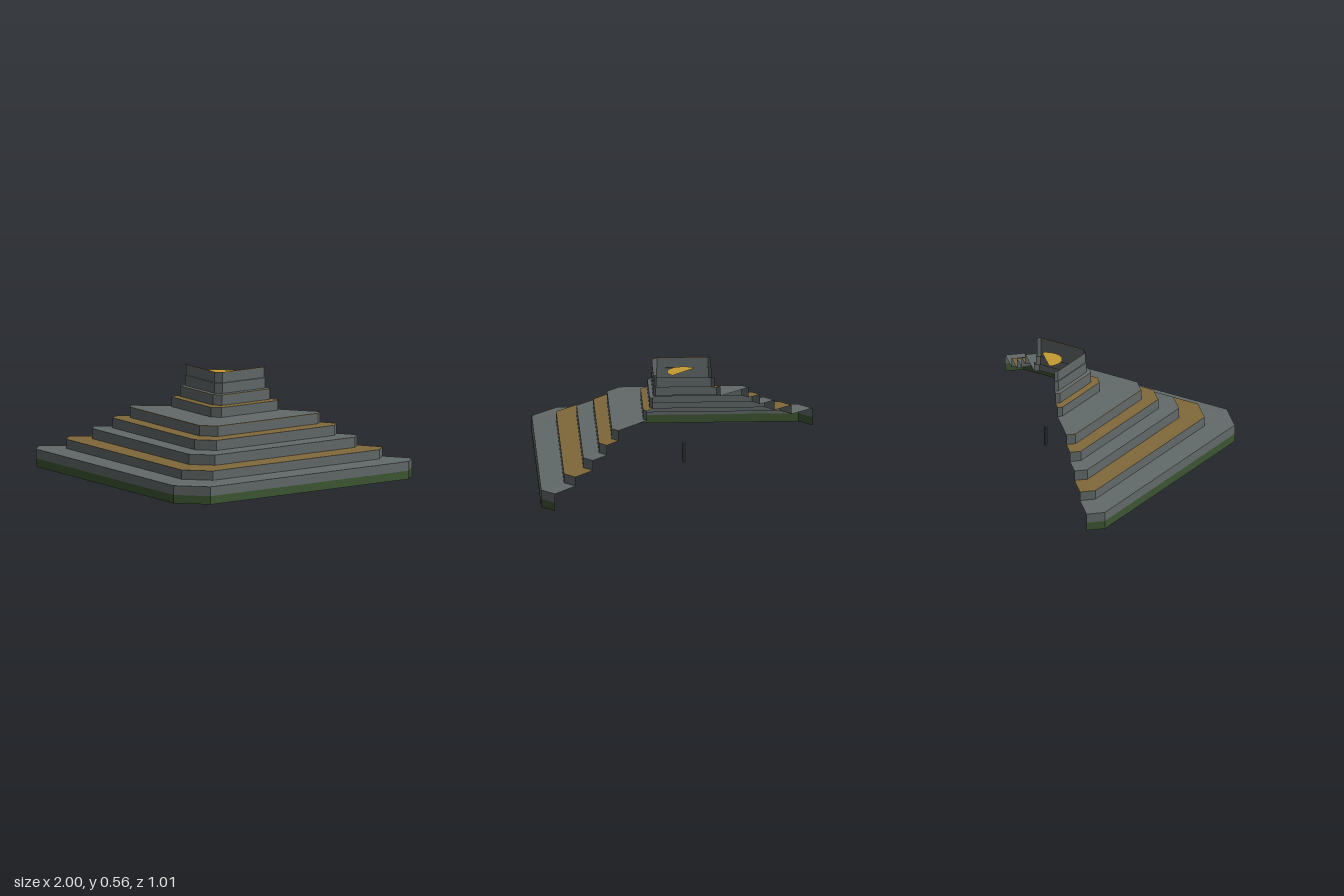
import * as THREE from 'three';

const mat = (name, color) => {
  const m = new THREE.MeshStandardMaterial({ color, side: THREE.DoubleSide, flatShading: true });
  m.name = name;
  return m;
};

const BACK = -0.495; // plane of the open back

// Half-octagon outline, scaled about the middle of the open back
const outline = (s, y) =>
  [[-1, 0], [-1, 0.1], [-0.1, 1], [0.1, 1], [1, 0.1], [1, 0]].map(([x, z]) => [x * s, y, BACK + z * s]);

// Strip of flat quads joining two outlines, facing outward or upward
function band(name, material, s0, y0, s1, y1) {
  const a = outline(s0, y0), b = outline(s1, y1), pos = [];
  for (let i = 0; i < a.length - 1; i++) {
    pos.push(...a[i], ...a[i + 1], ...b[i + 1], ...a[i], ...b[i + 1], ...b[i]);
  }
  const g = new THREE.BufferGeometry();
  g.setAttribute('position', new THREE.Float32BufferAttribute(pos, 3));
  g.computeVertexNormals();
  const mesh = new THREE.Mesh(g, material);
  mesh.name = name;
  return mesh;
}

export function createModel() {
  const stone = mat('stone', 0x626a69);
  const earth = mat('ochre terrace', 0x80683a);
  const moss = mat('moss green', 0x3d5632);
  const gold = mat('gold', 0xc49a32);
  const dark = mat('dark stone', 0x4c5252);
  const model = new THREE.Group();
  model.name = 'steppedTerraces';

  // Each tier: half width, wall bottom, wall top, tread material, ochre lip
  const tiers = [
    [1.0, 0.045, 0.095, stone, false],
    [0.84, 0.1, 0.15, earth, false],
    [0.705, 0.155, 0.21, stone, false],
    [0.595, 0.214, 0.268, earth, false],
    [0.505, 0.272, 0.328, stone, true],
    [0.285, 0.333, 0.385, earth, false],
    [0.24, 0.389, 0.445, stone, true],
    [0.215, 0.448, 0.503, stone, false],
    [0.21, 0.505, 0.562, null, true],
  ];
  model.add(band('mossBase', moss, 1, 0, 1, 0.045));
  tiers.forEach(([s, y0, y1, tread, lip], i) => {
    const wallTop = lip ? y1 - 0.004 : y1;
    model.add(band(`wall${i}`, stone, s, y0, s, wallTop));
    if (lip) model.add(band(`lip${i}`, earth, s, wallTop, s, y1));
    if (tread) {
      const next = tiers[i + 1];
      model.add(band(`tread${i}`, tread, s, y1, next[0], next[1]));
    }
  });

  // Half disc inside the top tier
  const disc = new THREE.Mesh(new THREE.CircleGeometry(0.087, 24, Math.PI, Math.PI), gold);
  disc.name = 'halfDisc';
  disc.rotation.x = -Math.PI / 2;
  disc.position.set(0, 0.535, BACK);
  model.add(disc);

  // Small post standing in the open back
  [[0.035, 0.115, 0.009], [0.115, 0.122, 0.006], [0.122, 0.142, 0.009]].forEach(([y0, y1, r], i) => {
    const part = new THREE.Mesh(new THREE.CylinderGeometry(r, r, y1 - y0, 8), dark);
    part.name = `post${i}`;
    part.position.set(0, (y0 + y1) / 2, BACK);
    model.add(part);
  });
  return model;
}
